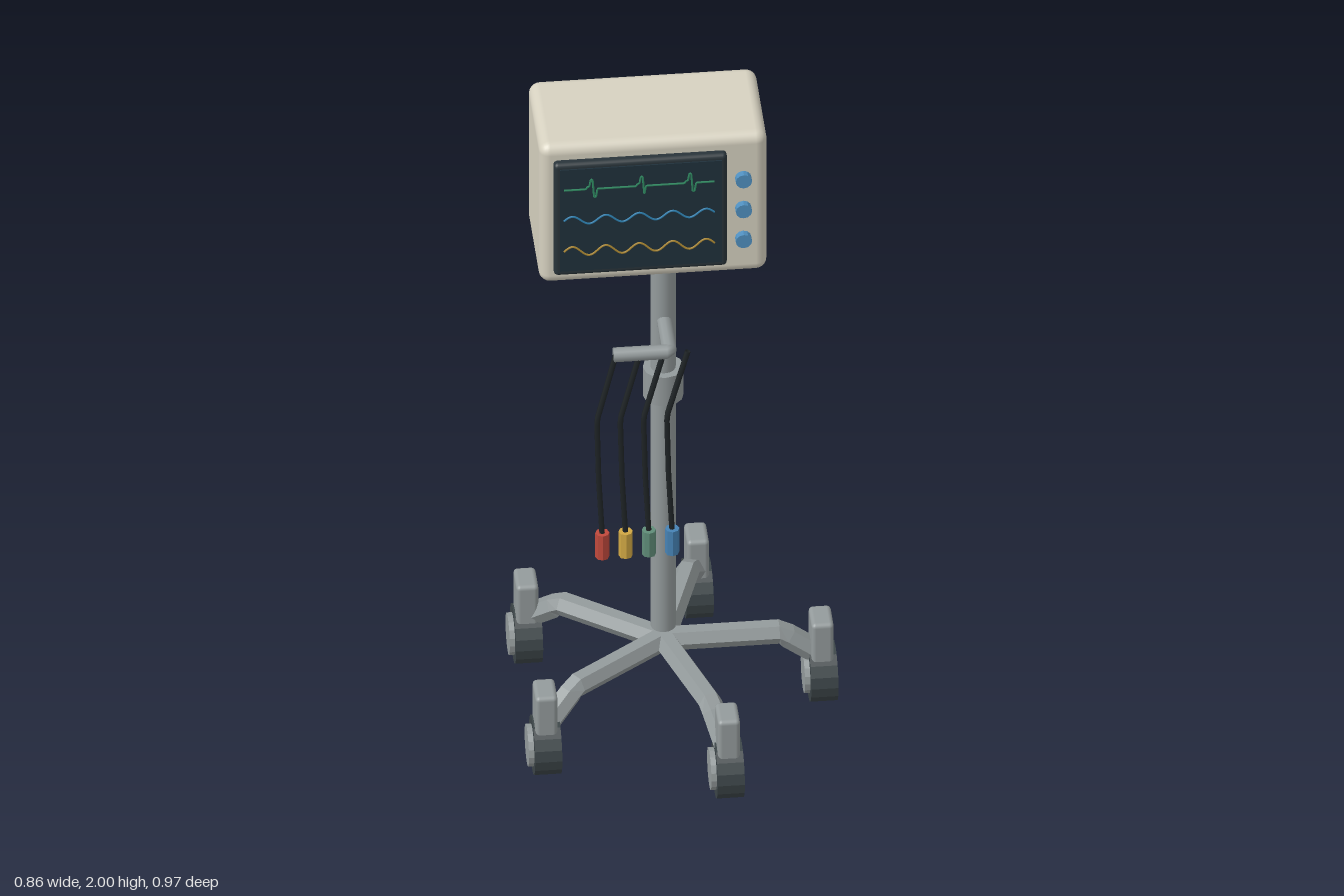
import * as THREE from 'three';
import { RoundedBoxGeometry } from 'three/addons/geometries/RoundedBoxGeometry.js';

const paint = (color, flatShading = false) =>
  new THREE.MeshStandardMaterial({ color, flatShading, side: THREE.DoubleSide });

const metal = paint(0x949b9c);
const metalFlat = paint(0x949b9c, true);
const casing = paint(0xd6d1c0);
const bezelDark = paint(0x29343a);
const glass = paint(0x1f313b);
const rubber = paint(0x3c4548, true);
const cableBlack = paint(0x1e2325);
const knobBlue = paint(0x5090c0, true);

const POLE_X = -0.037;

function add(parent, name, geometry, material, x = 0, y = 0, z = 0) {
  const mesh = new THREE.Mesh(geometry, material);
  mesh.name = name;
  mesh.position.set(x, y, z);
  parent.add(mesh);
  return mesh;
}

// Tube that follows straight runs between the given points
function bentTube(points, radius, segments, sides) {
  const path = new THREE.CurvePath();
  const v = points.map((p) => new THREE.Vector3(...p));
  for (let i = 1; i < v.length; i++) path.add(new THREE.LineCurve3(v[i - 1], v[i]));
  return new THREE.TubeGeometry(path, segments, radius, sides, false);
}

// Trace on the screen: height(t) with t running 0..1 across the display
function trace(height, y, steps) {
  const points = [];
  for (let i = 0; i <= steps; i++) {
    const t = i / steps;
    points.push([-0.322 + 0.405 * t, y + height(t), 0.177]);
  }
  return bentTube(points, 0.003, steps * 2, 5);
}

function createMonitor() {
  const monitor = new THREE.Group();
  monitor.name = 'monitor';
  add(monitor, 'monitorCase', new RoundedBoxGeometry(0.613, 0.46, 0.314, 3, 0.03), casing, -0.078, 1.77, -0.009);
  add(monitor, 'screenBezel', new RoundedBoxGeometry(0.466, 0.372, 0.034, 2, 0.012), bezelDark, -0.115, 1.77, 0.154);
  add(monitor, 'screen', new THREE.BoxGeometry(0.436, 0.338, 0.012), glass, -0.115, 1.772, 0.169);

  // Heartbeat with three spikes, then two smooth waves
  const beat = (t) => {
    const d = Math.abs(((t * 3.05 + 0.92) % 1) - 0.5) < 0.12 ? ((t * 3.05 + 0.92) % 1) - 0.5 : 0;
    if (d === 0) return 0;
    return d < -0.04 ? 0.008 : d < 0.02 ? 0.032 : d < 0.07 ? -0.028 : 0;
  };
  add(monitor, 'heartTrace', trace(beat, 1.875, 90), paint(0x2f8a62));
  add(monitor, 'pressureTrace', trace((t) => 0.013 * Math.sin(t * Math.PI * 9), 1.773, 60), paint(0x2f83b4));
  add(monitor, 'breathTrace', trace((t) => 0.015 * Math.sin(t * Math.PI * 9), 1.67, 60), paint(0xb08c35));

  for (const y of [1.875, 1.775, 1.675]) {
    const knob = add(monitor, 'knob', new THREE.CylinderGeometry(0.022, 0.022, 0.02, 12), knobBlue, 0.161, y, 0.177);
    knob.rotation.x = Math.PI / 2;
  }
  return monitor;
}

function createStand() {
  const stand = new THREE.Group();
  stand.name = 'stand';
  add(stand, 'pole', new THREE.CylinderGeometry(0.034, 0.034, 1.29, 16), metal, POLE_X, 0.915, 0);
  add(stand, 'heightCollar', new THREE.CylinderGeometry(0.055, 0.055, 0.095, 12), metal, POLE_X, 1.088, 0);

  // Five legs, each with a caster that points the same way
  const legShape = bentTube([[0, 0.223, 0], [0.315, 0.223, 0], [0.425, 0.14, 0]], 0.033, 16, 6);
  const housing = new RoundedBoxGeometry(0.06, 0.14, 0.095, 2, 0.012);
  const wheel = new THREE.CylinderGeometry(0.082, 0.082, 0.073, 16).rotateZ(Math.PI / 2);
  const hub = new THREE.CylinderGeometry(0.058, 0.058, 0.016, 16).rotateZ(Math.PI / 2);
  for (let i = 0; i < 5; i++) {
    const angle = (i * Math.PI * 2) / 5;
    const leg = add(stand, 'leg', legShape, metalFlat, POLE_X);
    leg.rotation.y = angle;

    const caster = new THREE.Group();
    caster.name = 'caster';
    caster.position.set(POLE_X + 0.425 * Math.cos(angle), 0, -0.425 * Math.sin(angle));
    add(caster, 'casterHousing', housing, metal, 0, 0.2, 0);
    add(caster, 'wheel', wheel, rubber, 0.002, 0.083, 0);
    add(caster, 'wheelHub', hub, metalFlat, -0.041, 0.083, 0);
    stand.add(caster);
  }
  return stand;
}

function createCables() {
  const cables = new THREE.Group();
  cables.name = 'cableSet';

  // Bracket reaching forward from the pole, then sideways
  const hook = bentTube([[POLE_X, 1.305, 0], [POLE_X, 1.305, 0.163], [-0.188, 1.305, 0.163]], 0.02, 24, 10);
  add(cables, 'cableHook', hook, metal);
  const cap = add(cables, 'cableHookEnd', new THREE.CircleGeometry(0.02, 10), metal, -0.188, 1.305, 0.163);
  cap.rotation.y = -Math.PI / 2;

  // Four hanging leads with coloured plugs
  [0xc0493c, 0xd0a743, 0x5f8c78, 0x4682b4].forEach((color, i) => {
    const x = -0.222 + i * 0.0627;
    const lead = bentTube([
      [x + 0.04 + i * 0.002, 1.305, 0.166],
      [x - 0.013, 1.11, 0.19],
      [x - 0.009, 0.92, 0.197],
      [x, 0.73, 0.205],
    ], 0.008, 24, 6);
    add(cables, 'lead', lead, cableBlack);
    add(cables, 'plug', new THREE.CylinderGeometry(0.019, 0.019, 0.08, 8), paint(color, true), x, 0.705, 0.205);
  });
  return cables;
}

export function createModel() {
  const model = new THREE.Group();
  model.name = 'patientMonitorOnStand';
  model.add(createMonitor(), createStand(), createCables());
  return model;
}
